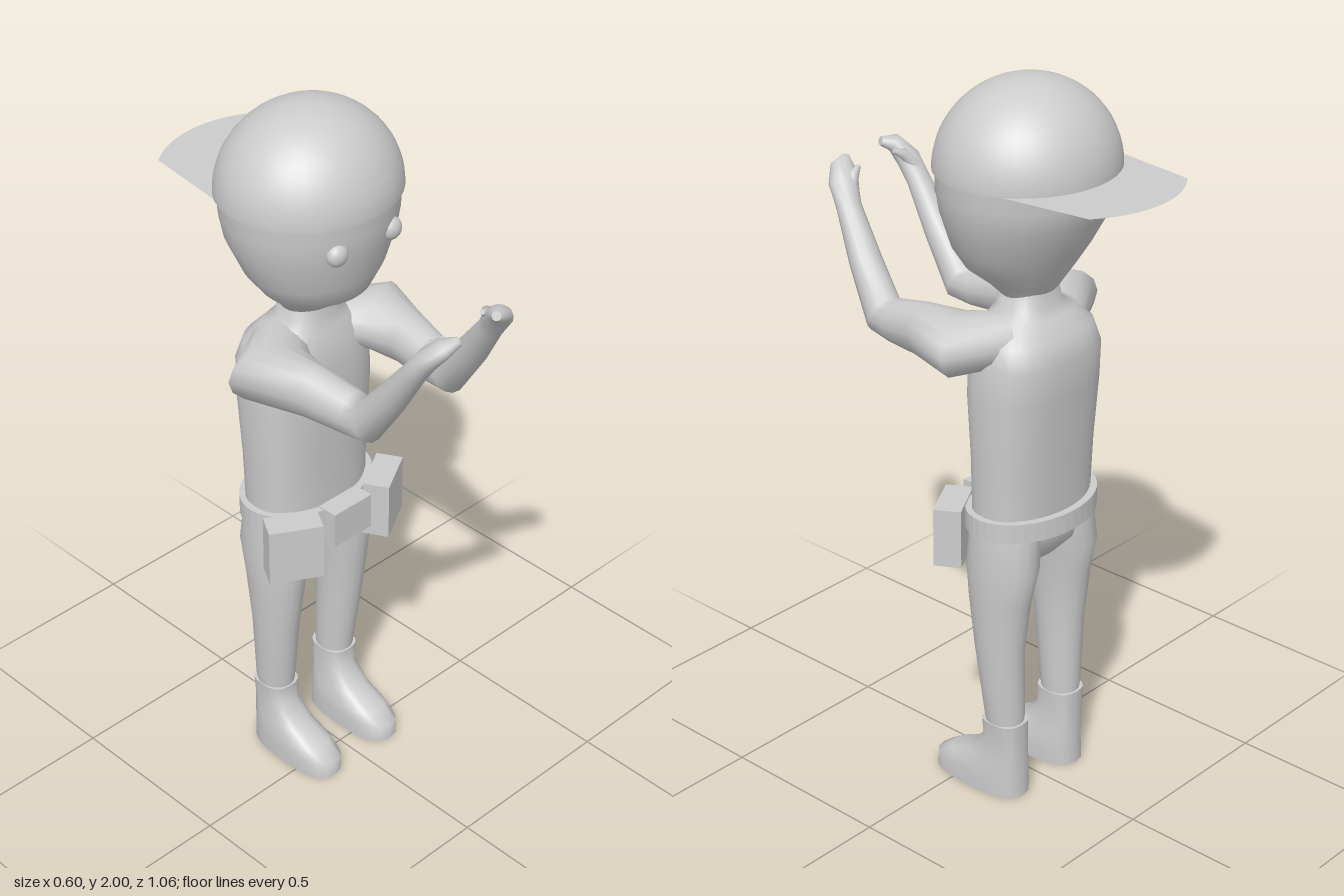
import * as THREE from 'three';

const V = (x, y, z) => new THREE.Vector3(x, y, z);
const grey = new THREE.MeshStandardMaterial({ color: 0xcccccc });
const greyThin = new THREE.MeshStandardMaterial({ color: 0xcccccc, side: THREE.DoubleSide });

// Skin a list of rings { c, u, v }, with flat caps; power below 1 squares the section
function skin(rings, sides = 20, power = 1) {
  const pos = [], idx = [];
  const bend = (t) => Math.sign(t) * Math.abs(t) ** power;
  const addRing = ({ c, u, v }) => {
    for (let j = 0; j < sides; j++) {
      const a = (j / sides) * Math.PI * 2;
      const p = c.clone().addScaledVector(u, bend(Math.cos(a))).addScaledVector(v, bend(Math.sin(a)));
      pos.push(p.x, p.y, p.z);
    }
  };
  rings.forEach(addRing);
  for (let i = 0; i < rings.length - 1; i++) {
    for (let j = 0; j < sides; j++) {
      const k = (j + 1) % sides, a = i * sides, b = a + sides;
      idx.push(a + j, a + k, b + j, a + k, b + k, b + j);
    }
  }
  [rings[0], rings[rings.length - 1]].forEach((ring, end) => {
    const start = pos.length / 3;
    addRing(ring);
    pos.push(ring.c.x, ring.c.y, ring.c.z);
    for (let j = 0; j < sides; j++) {
      const k = (j + 1) % sides;
      idx.push(start + sides, start + (end ? j : k), start + (end ? k : j));
    }
  });
  const g = new THREE.BufferGeometry();
  g.setAttribute('position', new THREE.Float32BufferAttribute(pos, 3));
  g.setIndex(idx);
  g.computeVertexNormals();
  return g;
}

// Upright form from rows [y, centre x, half width, front z, back z]
const upright = (rows, sides, power) => skin(rows.map(([y, x, rx, f, b]) => ({
  c: V(x, y, (f + b) / 2), u: V(0, 0, (f - b) / 2), v: V(rx, 0, 0),
})), sides, power);

// Limb along a path from rows [x, y, z, horizontal radius, vertical radius]
function limb(rows, sides) {
  const p = rows.map((r) => V(r[0], r[1], r[2]));
  return skin(rows.map((r, i) => {
    const t = V(0, 0, 0);
    if (i > 0) t.add(p[i].clone().sub(p[i - 1]).normalize());
    if (i < p.length - 1) t.add(p[i + 1].clone().sub(p[i]).normalize());
    t.normalize();
    const u = V(0, 1, 0).cross(t).normalize();
    const v = t.clone().cross(u);
    return { c: p[i], u: u.multiplyScalar(r[3]), v: v.multiplyScalar(r[4]) };
  }), sides);
}

export function createModel() {
  const model = new THREE.Group();
  const add = (name, geometry, material = grey, x = 0, y = 0, z = 0) => {
    const m = new THREE.Mesh(geometry, material);
    m.name = name;
    m.position.set(x, y, z);
    model.add(m);
    return m;
  };

  // Head tapering to the chin, and eyes
  add('head', upright([
    [1.44, 0, 0.08, -0.05, -0.18], [1.47, 0, 0.105, -0.01, -0.2], [1.51, 0, 0.15, 0.05, -0.225],
    [1.57, 0, 0.195, 0.075, -0.26], [1.66, 0, 0.23, 0.1, -0.31], [1.72, 0, 0.24, 0.11, -0.325],
    [1.79, 0, 0.243, 0.112, -0.33]], 36));
  for (const s of [-1, 1]) {
    add(s > 0 ? 'leftEye' : 'rightEye', new THREE.SphereGeometry(0.031, 20, 14), grey, s * 0.093, 1.69, 0.085)
      .scale.z = 0.8;
  }

  // Backwards cap: dome, front patch and flat brim
  add('capDome', new THREE.SphereGeometry(1, 40, 16, 0, Math.PI * 2, 0, Math.PI / 2), greyThin, 0, 1.77, -0.11)
    .scale.set(0.249, 0.23, 0.23);
  add('capPatch', new THREE.SphereGeometry(1.02, 12, 3, Math.PI / 2 - 0.38, 0.76, 1.18, 0.21), greyThin, 0, 1.77, -0.11)
    .scale.set(0.249, 0.23, 0.23);
  const brim = new THREE.Shape();
  brim.moveTo(-0.24, 0.12);
  brim.lineTo(-0.215, 0.24);
  brim.lineTo(-0.185, 0.465);
  brim.quadraticCurveTo(-0.1, 0.53, 0, 0.53);
  brim.quadraticCurveTo(0.1, 0.53, 0.185, 0.465);
  brim.lineTo(0.215, 0.24);
  brim.lineTo(0.24, 0.12);
  add('capBrim', new THREE.ShapeGeometry(brim).rotateX(-Math.PI / 2), greyThin, 0, 1.77, 0);

  // Torso with neck, and the hips below it
  add('torso', upright([
    [0.82, 0, 0.185, -0.025, -0.235], [1.0, 0, 0.187, -0.02, -0.245], [1.18, 0, 0.195, -0.01, -0.26],
    [1.28, 0, 0.19, -0.01, -0.268], [1.34, 0, 0.172, -0.02, -0.25], [1.385, 0, 0.125, -0.035, -0.21],
    [1.41, 0, 0.085, -0.045, -0.19], [1.48, 0, 0.07, -0.05, -0.18]], 28, 0.8));
  add('hips', upright([
    [0.7, 0, 0.07, -0.08, -0.19], [0.74, 0, 0.15, -0.04, -0.225], [0.79, 0, 0.185, -0.03, -0.235],
    [0.86, 0, 0.185, -0.025, -0.235]], 24, 0.85));

  // Legs and boots
  for (const s of [-1, 1]) {
    const side = s > 0 ? 'left' : 'right';
    add(side + 'Leg', upright([
      [0.18, s * 0.113, 0.045, -0.09, -0.19], [0.25, s * 0.115, 0.053, -0.082, -0.197],
      [0.45, s * 0.122, 0.06, -0.055, -0.2], [0.6, s * 0.12, 0.071, -0.035, -0.22],
      [0.7, s * 0.116, 0.079, -0.025, -0.242], [0.8, s * 0.105, 0.083, -0.03, -0.235]], 20));
    add(side + 'Boot', upright([
      [0, s * 0.11, 0.066, 0.093, -0.205], [0.045, s * 0.11, 0.066, 0.09, -0.205],
      [0.075, s * 0.11, 0.063, 0.045, -0.203], [0.105, s * 0.111, 0.056, -0.025, -0.202],
      [0.165, s * 0.112, 0.049, -0.08, -0.201], [0.225, s * 0.114, 0.053, -0.08, -0.201]], 20, 0.75));
  }

  // Raised arms, with hands and thumbs; each side is posed a little differently
  add('leftArm', limb([
    [0.09, 1.335, -0.13, 0.075, 0.07], [0.195, 1.33, -0.05, 0.115, 0.08], [0.175, 1.325, 0.08, 0.062, 0.073],
    [0.162, 1.312, 0.19, 0.055, 0.06], [0.155, 1.312, 0.245, 0.053, 0.056], [0.13, 1.43, 0.335, 0.044, 0.042],
    [0.102, 1.55, 0.42, 0.034, 0.031], [0.085, 1.6, 0.455, 0.04, 0.03], [0.058, 1.635, 0.485, 0.032, 0.024],
    [0.03, 1.648, 0.5, 0.012, 0.012]], 14));
  add('leftThumb', limb([
    [0.09, 1.58, 0.43, 0.018, 0.018], [0.06, 1.622, 0.442, 0.015, 0.015], [0.035, 1.635, 0.45, 0.007, 0.007]], 10));
  add('rightArm', limb([
    [-0.09, 1.335, -0.13, 0.075, 0.07], [-0.195, 1.33, -0.05, 0.115, 0.08], [-0.17, 1.325, 0.08, 0.062, 0.073],
    [-0.153, 1.312, 0.2, 0.055, 0.06], [-0.15, 1.312, 0.255, 0.053, 0.056], [-0.162, 1.43, 0.345, 0.044, 0.042],
    [-0.17, 1.55, 0.43, 0.034, 0.031], [-0.168, 1.6, 0.465, 0.038, 0.03], [-0.15, 1.64, 0.5, 0.032, 0.024],
    [-0.115, 1.65, 0.515, 0.012, 0.012]], 14));
  add('rightThumb', limb([
    [-0.168, 1.58, 0.435, 0.018, 0.018], [-0.14, 1.622, 0.455, 0.015, 0.015], [-0.113, 1.635, 0.465, 0.007, 0.007]], 10));

  // Belt ring, buckle and two angled pouches
  const ring = new THREE.Shape().absellipse(0, 0, 0.205, 0.145, 0, Math.PI * 2);
  ring.holes.push(new THREE.Path().absellipse(0, 0, 0.185, 0.125, 0, Math.PI * 2));
  add('belt', new THREE.ExtrudeGeometry(ring, { depth: 0.055, bevelEnabled: false, curveSegments: 20 })
    .rotateX(-Math.PI / 2), grey, 0, 0.805, -0.13);
  add('buckle', new THREE.BoxGeometry(0.135, 0.105, 0.06), grey, 0, 0.812, 0.02);
  for (const s of [-1, 1]) {
    add(s > 0 ? 'leftPouch' : 'rightPouch', new THREE.BoxGeometry(0.147, 0.165, 0.074), grey, s * 0.167, 0.783, -0.005)
      .rotation.y = s * Math.PI / 6;
  }
  return model;
}
